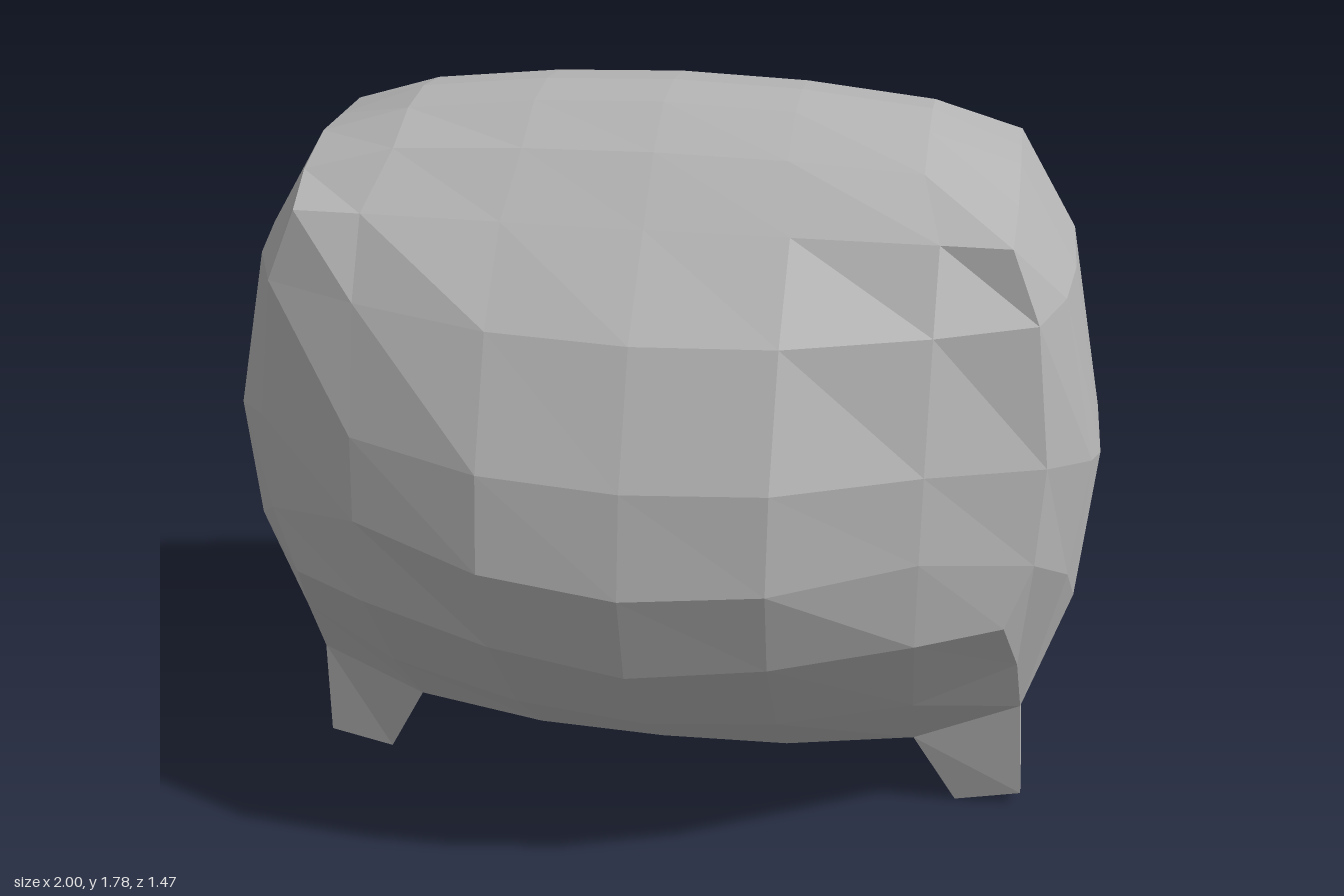
import * as THREE from 'three';

const grey = new THREE.MeshStandardMaterial({ color: 0xb4b4b4, flatShading: true });
grey.name = 'plain grey';

// Half cross-sections [y, z], from the top ridge over the front to the belly line
const sections = [
  { x: 0, p: [[1.79, 0], [1.775, 0.13], [1.70, 0.26], [1.57, 0.39], [1.38, 0.575], [1.10, 0.70],
    [0.865, 0.735], [0.635, 0.665], [0.355, 0.41], [0.16, 0.16], [0.135, 0]] },
  { x: 0.31, p: [[1.78, 0], [1.765, 0.13], [1.695, 0.26], [1.57, 0.388], [1.385, 0.555], [1.11, 0.68],
    [0.89, 0.71], [0.67, 0.64], [0.38, 0.40], [0.17, 0.16], [0.15, 0]] },
  { x: 0.62, p: [[1.75, 0], [1.735, 0.13], [1.68, 0.26], [1.57, 0.385], [1.40, 0.48], [1.12, 0.56],
    [0.925, 0.58], [0.71, 0.555], [0.44, 0.36], [0.215, 0.15], [0.175, 0]] },
];

// Rim where the body meets the domed end [x, y, z]
const rim = [[0.775, 1.675, 0], [0.775, 1.675, 0.135], [0.775, 1.63, 0.28], [0.77, 1.57, 0.385],
  [0.835, 1.41, 0.40], [0.875, 1.09, 0.41], [0.865, 0.86, 0.42], [0.81, 0.71, 0.445],
  [0.85, 0.53, 0.29], [0.87, 0.325, 0.14], [0.87, 0.325, 0]];

const flipX = ([x, y, z]) => [-x, y, z];
const flipZ = ([x, y, z]) => [x, y, -z];
const mirrorPatch = (grid) => grid.map((col) => col.map(flipX)).reverse();

// Surface from a grid of points: columns run rightwards, points in a column run downwards
function patch(name, ...grids) {
  const pos = [];
  for (const g of grids) {
    for (let i = 0; i < g.length - 1; i++) {
      for (let j = 0; j < g[i].length - 1; j++) {
        const a = g[i][j], b = g[i + 1][j], c = g[i + 1][j + 1], d = g[i][j + 1];
        pos.push(...a, ...d, ...c, ...a, ...c, ...b);
      }
    }
  }
  const geo = new THREE.BufferGeometry();
  geo.setAttribute('position', new THREE.Float32BufferAttribute(pos, 3));
  geo.computeVertexNormals();
  const mesh = new THREE.Mesh(geo, grey);
  mesh.name = name;
  return mesh;
}

export function createModel() {
  const model = new THREE.Group();
  model.name = 'roundedBody';

  // Barrel body: closed loops strung along x
  const ring = (half) => [...half, ...half.slice(0, -1).reverse().map(flipZ)];
  const columns = sections.map(({ x, p }) =>
    ring(p.map(([y, z], i) => [i < 3 ? x * 0.93 : x, y, z])));
  columns.push(ring(rim));
  const leftHalf = columns;
  model.add(patch('body', mirrorPatch(leftHalf), leftHalf));

  // Domed ends, narrowing down towards the legs
  const capHalf = [
    rim.slice(3, 8),
    [rim[2], [0.89, 1.43, 0.28], [0.975, 1.05, 0.265], [0.945, 0.77, 0.28], rim[8]],
    [rim[1], [0.91, 1.45, 0.135], [1.0, 1.01, 0.13], [0.97, 0.64, 0.135], rim[9]],
  ];
  const cap = [...capHalf, ...[...capHalf].reverse().map((col) => col.map(flipZ))];

  // Short tapered legs with slanted soles
  const loop = (inner, outer) => [inner, outer, flipZ(outer), flipZ(inner), inner];
  const top = loop([0.62, 0.215, 0.15], rim[9]);
  const sole = loop([0.73, 0.005, 0.09], [0.89, 0.04, 0.09]);
  const legSides = top.map((p, i) => [p, sole[i]]);
  const legSole = [[sole[0], sole[3]], [sole[1], sole[2]]];

  model.add(patch('leftEnd', cap), patch('rightEnd', mirrorPatch(cap)));
  model.add(patch('leftLeg', legSides, legSole));
  model.add(patch('rightLeg', mirrorPatch(legSides), mirrorPatch(legSole)));
  return model;
}
